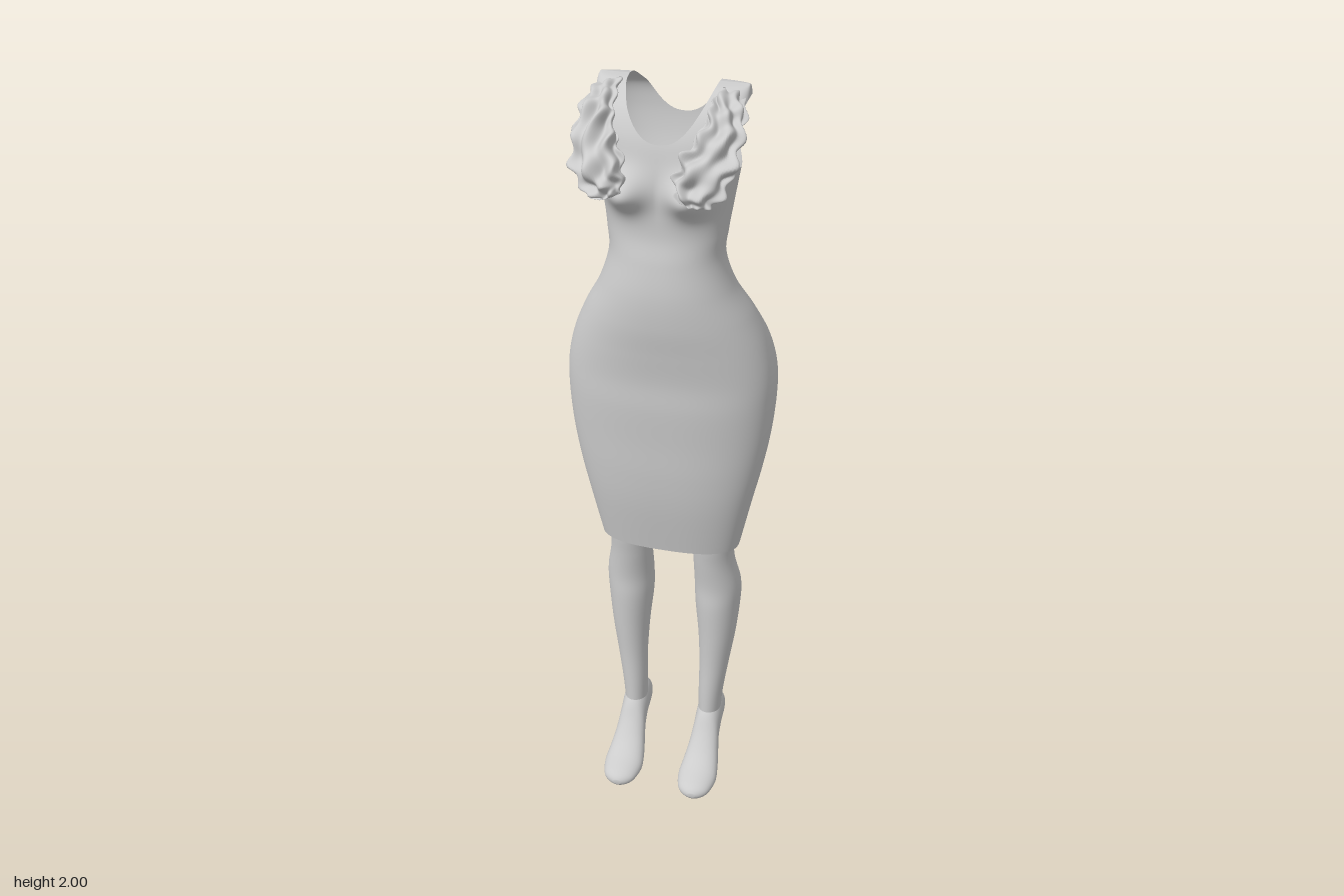
import * as THREE from 'three';
import { mergeVertices } from 'three/addons/utils/BufferGeometryUtils.js';

const material = new THREE.MeshStandardMaterial({ color: 0xcccccc, side: THREE.DoubleSide });
const V = (x, y, z) => new THREE.Vector3(x, y, z);
const bell = (d, w) => Math.exp(-(d / w) * (d / w));

// Smooth interpolation through rows of numbers, t in 0..1
function sample(rows, t) {
  const n = rows.length - 1, f = Math.min(t * n, n - 1e-9), i = Math.floor(f), u = f - i;
  const at = k => rows[Math.max(0, Math.min(n, k))];
  return rows[i].map((p1, c) => {
    const p0 = at(i - 1)[c], p2 = at(i + 1)[c], p3 = at(i + 2)[c];
    return p1 + 0.5 * u * (p2 - p0 + u * (2 * p0 - 5 * p1 + 4 * p2 - p3 + u * (3 * (p1 - p2) + p3 - p0)));
  });
}

// Keeps the part of a polygon where f > 0
function clip(poly, f) {
  const out = [];
  poly.forEach((a, i) => {
    const b = poly[(i + 1) % poly.length], fa = f(a), fb = f(b);
    if (fa > 0) out.push(a);
    if (fa > 0 !== fb > 0) out.push(a.clone().lerp(b, fa / (fa - fb)));
  });
  return out;
}

// Skin over closed rings; point(t, angle) gives the surface, cuts open holes in it
function loft(name, point, rows, sides, { cuts = [], caps = false } = {}) {
  const pos = [];
  const rings = [];
  for (let i = 0; i <= rows; i++) {
    const ring = [];
    for (let j = 0; j < sides; j++) ring.push(point(i / rows, (j / sides) * Math.PI * 2));
    rings.push(ring);
  }
  const add = tri => {
    const poly = cuts.reduce((p, f) => (p.length ? clip(p, f) : p), tri);
    for (let k = 1; k + 1 < poly.length; k++)
      for (const p of [poly[0], poly[k], poly[k + 1]]) pos.push(p.x, p.y, p.z);
  };
  for (let i = 0; i < rows; i++)
    for (let j = 0; j < sides; j++) {
      const k = (j + 1) % sides;
      add([rings[i][j], rings[i][k], rings[i + 1][k]]);
      add([rings[i][j], rings[i + 1][k], rings[i + 1][j]]);
    }
  if (caps)
    [rings[0], rings[rows]].forEach((ring, end) => {
      const mid = ring.reduce((s, p) => s.add(p), V(0, 0, 0)).divideScalar(sides);
      ring.forEach((p, j) => {
        const q = ring[(j + 1) % sides];
        add(end ? [mid, p, q] : [mid, q, p]);
      });
    });
  let geometry = new THREE.BufferGeometry();
  geometry.setAttribute('position', new THREE.Float32BufferAttribute(pos, 3));
  geometry = mergeVertices(geometry, 1e-5);
  geometry.computeVertexNormals();
  const mesh = new THREE.Mesh(geometry, material);
  mesh.name = name;
  return mesh;
}

// Level superellipse section with its own front and back depth
function section(a, y, cx, rx, zc, zf, zb, n = 2) {
  const s = Math.sin(a), c = Math.cos(a);
  const r = (Math.abs(s) ** n + Math.abs(c) ** n) ** (-1 / n);
  return V(cx + rx * s * r, y, zc + (c > 0 ? zf - zc : zc - zb) * c * r);
}

// Dress: height, half width, z of widest point, front z, back z, squareness
const DRESS = [
  [0.765, 0.182, -0.025, 0.06, -0.11, 2.6],
  [0.9, 0.212, -0.02, 0.085, -0.11, 2.5],
  [1.0, 0.235, -0.02, 0.097, -0.125, 2.4],
  [1.1, 0.253, -0.025, 0.103, -0.155, 2.4],
  [1.2, 0.262, -0.03, 0.11, -0.195, 2.4],
  [1.28, 0.26, -0.03, 0.112, -0.208, 2.4],
  [1.36, 0.242, -0.025, 0.122, -0.19, 2.3],
  [1.44, 0.208, -0.01, 0.133, -0.15, 2.2],
  [1.52, 0.165, 0.01, 0.135, -0.105, 2.2],
  [1.6, 0.14, 0.015, 0.125, -0.08, 2.2],
  [1.66, 0.144, 0.01, 0.113, -0.083, 2.3],
  [1.72, 0.152, 0, 0.112, -0.095, 2.4],
  [1.78, 0.16, -0.01, 0.112, -0.115, 2.6],
  [1.84, 0.168, -0.02, 0.105, -0.13, 2.9],
  [1.9, 0.176, -0.025, 0.09, -0.136, 3.2],
  [1.95, 0.18, -0.03, 0.06, -0.13, 3.2],
  [1.98, 0.18, -0.04, 0.02, -0.1, 3],
  [1.995, 0.178, -0.045, -0.01, -0.075, 3],
  [2.0, 0.175, -0.045, -0.045, -0.045, 3],
];
function dressPoint(t, a) {
  const [y, rx, zc, zf, zb, n] = sample(DRESS, t);
  const p = section(a, y, 0, rx, zc, zf, zb, n);
  const c = Math.cos(a);
  // Bust in front, shallow centre dip behind
  if (c > 0) p.z += 0.055 * Math.min(1, c * 2) * bell(Math.abs(p.x) - 0.08, 0.05) * bell(y - 1.775, 0.045);
  else p.z += 0.009 * bell(p.x, 0.045) * bell(y - 1.25, 0.14);
  return p;
}
const armhole = p => ((p.z + 0.037) / 0.078) ** 2 + ((p.y - 1.89) / 0.085) ** 2 - 1;
const neckline = p => 1.887 + 0.11 * (Math.abs(p.x) / 0.105) ** 2.3 - p.y;
const backOpening = p => Math.max(Math.abs(p.y - 1.73) / 0.045 + (p.x / 0.11) ** 2 - 1, (p.z + 0.03) * 20);

// Leg: height, x centre, half width, front z, back z
const LEG = [
  [0.17, 0.105, 0.03, 0, -0.085],
  [0.25, 0.108, 0.033, 0, -0.08],
  [0.35, 0.115, 0.04, 0, -0.09],
  [0.45, 0.12, 0.05, 0.005, -0.11],
  [0.55, 0.12, 0.06, 0.01, -0.125],
  [0.62, 0.12, 0.062, 0.01, -0.115],
  [0.7, 0.113, 0.055, 0.02, -0.092],
  [0.765, 0.112, 0.054, 0.03, -0.086],
  [0.85, 0.112, 0.062, 0.037, -0.09],
  [1.0, 0.115, 0.08, 0.06, -0.1],
];
// Shoe: z, sole y, upper y, half width
const SHOE = [
  [-0.117, 0.165, 0.185, 0.012],
  [-0.105, 0.138, 0.205, 0.027],
  [-0.075, 0.122, 0.222, 0.035],
  [-0.035, 0.1, 0.225, 0.036],
  [0, 0.062, 0.198, 0.037],
  [0.03, 0.032, 0.148, 0.043],
  [0.065, 0.019, 0.105, 0.05],
  [0.1, 0.015, 0.08, 0.053],
  [0.14, 0.017, 0.063, 0.043],
  [0.158, 0.021, 0.053, 0.027],
  [0.166, 0.03, 0.043, 0.01],
];
// Heel: height, radius, z centre
const HEEL = [
  [0.004, 0.009, -0.07],
  [0.07, 0.011, -0.076],
  [0.12, 0.018, -0.083],
  [0.16, 0.028, -0.088],
];
// Ruffle: x, y, z of its spine, half width, half thickness
const RUFFLE = [
  [0.14, 1.985, -0.02, 0.028, 0.008],
  [0.148, 1.97, 0.04, 0.036, 0.018],
  [0.148, 1.94, 0.085, 0.042, 0.026],
  [0.138, 1.895, 0.13, 0.053, 0.032],
  [0.118, 1.845, 0.165, 0.056, 0.032],
  [0.1, 1.805, 0.178, 0.044, 0.026],
  [0.093, 1.787, 0.182, 0.02, 0.012],
];
function rufflePoint(t, a, s) {
  const [x, y, z, w, h] = sample(RUFFLE, t);
  const next = sample(RUFFLE, Math.min(1, t + 0.01)), last = sample(RUFFLE, Math.max(0, t - 0.01));
  const along = V(next[0] - last[0], next[1] - last[1], next[2] - last[2]).normalize();
  const across = along.clone().cross(V(0.3, 0.55, 0.8)).normalize();
  const out = across.clone().cross(along);
  // Crumpled folds, phased differently on each side
  const fold = 0.32 * Math.sin(6 * a + 3 * Math.sin(9 * t + s)) + 0.25 * Math.sin(34 * t + 2.5 * Math.cos(2 * a + s));
  const edge = 1 + 0.12 * Math.sin(40 * t + s + 2 * Math.cos(a));
  const p = V(x, y, z)
    .addScaledVector(across, w * edge * Math.cos(a) * (1 + 0.3 * fold))
    .addScaledVector(out, h * (Math.sin(a) * (1 + 0.5 * fold) + 0.5 * fold));
  p.x *= s;
  return p;
}

export function createModel() {
  const model = new THREE.Group();
  model.name = 'dressedFigure';
  model.add(loft('dress', dressPoint, 170, 128, { cuts: [armhole, neckline, backOpening] }));
  for (const s of [1, -1]) {
    const side = s > 0 ? 'left' : 'right';
    model.add(loft(side + 'Leg', (t, a) => {
      const [y, cx, rx, zf, zb] = sample(LEG, t);
      return section(a, y, s * cx, rx, (zf + zb) / 2, zf, zb);
    }, 48, 32, { caps: true }));
    model.add(loft(side + 'Shoe', (t, a) => {
      const [z, lo, hi, w] = sample(SHOE, t);
      return V(s * 0.106 + w * Math.cos(a), (lo + hi) / 2 + ((hi - lo) / 2) * Math.sin(a), z);
    }, 40, 32, { caps: true }));
    model.add(loft(side + 'Heel', (t, a) => {
      const [y, r, z] = sample(HEEL, t);
      return section(a, y, s * 0.102, r, z, z + r, z - r);
    }, 12, 16, { caps: true }));
    model.add(loft(side + 'Ruffle', (t, a) => rufflePoint(t, a, s), 80, 72, { caps: true }));
  }
  return model;
}
